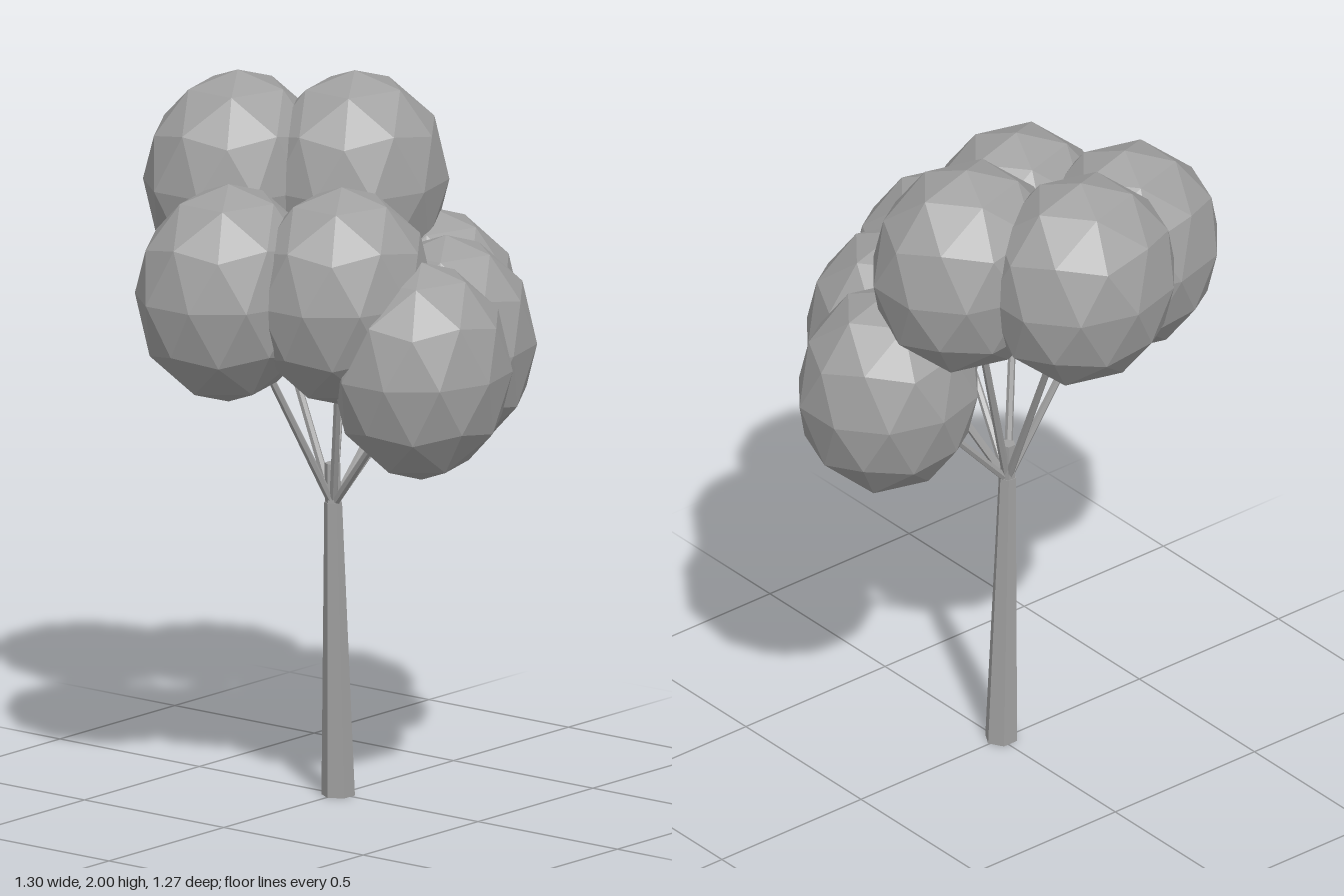
import * as THREE from 'three';

const grey = new THREE.MeshStandardMaterial({ color: 0xa0a0a0, flatShading: true });
grey.name = 'grey';

const FORK = new THREE.Vector3(-0.03, 0.83, 0.005);

// Leaf clumps: centre x, y, z and radii x, z
const CLUMPS = [
  [0.03, 1.69, -0.387, 0.284, 0.25],
  [0.23, 1.69, -0.132, 0.284, 0.25],
  [-0.382, 1.49, -0.08, 0.282, 0.247],
  [-0.211, 1.49, 0.185, 0.278, 0.247],
  [-0.115, 1.29, 0.392, 0.27, 0.243],
  [0.172, 1.29, 0.243, 0.27, 0.243],
  [0.392, 1.29, 0.012, 0.27, 0.243],
];

function part(name, geometry) {
  const mesh = new THREE.Mesh(geometry, grey);
  mesh.name = name;
  return mesh;
}

// Tapered limb between two points, with horizontal ends if level is set
function limb(name, from, to, r0, r1, sides, level = false) {
  const dir = to.clone().sub(from);
  const length = level ? dir.y : dir.length();
  const geo = new THREE.CylinderGeometry(r1, r0, length, sides);
  geo.translate(0, length / 2, 0);
  if (level) {
    geo.rotateY(Math.PI / 2);
    geo.applyMatrix4(new THREE.Matrix4().set(
      1, dir.x / dir.y, 0, 0,
      0, 1, 0, 0,
      0, dir.z / dir.y, 1, 0,
      0, 0, 0, 1));
  } else {
    geo.applyQuaternion(new THREE.Quaternion().setFromUnitVectors(
      new THREE.Vector3(0, 1, 0), dir.normalize()));
  }
  geo.translate(from.x, from.y, from.z);
  return part(name, geo);
}

export function createModel() {
  const tree = new THREE.Group();
  tree.name = 'tree';

  // Leaning trunk with a short stub above the fork
  tree.add(limb('trunk', new THREE.Vector3(-0.007, 0, 0.004), new THREE.Vector3(-0.03, 0.84, 0.005), 0.047, 0.025, 6, true));
  tree.add(limb('trunkStub', FORK, new THREE.Vector3(-0.027, 0.95, 0), 0.023, 0.022, 6, true));

  // Faceted ball standing on a five-sided pole
  const ball = new THREE.IcosahedronGeometry(1, 1);
  ball.rotateX(-Math.atan((1 + Math.sqrt(5)) / 2));
  ball.rotateY(Math.PI / 2);

  // One branch and one leaf clump each
  for (const [x, y, z, rx, rz] of CLUMPS) {
    tree.add(limb('branch', FORK, new THREE.Vector3(x, y, z), 0.012, 0.009, 6));
    const clump = part('leafClump', ball);
    clump.position.set(x, y, z);
    clump.scale.set(rx, 0.31, rz);
    tree.add(clump);
  }
  return tree;
}
